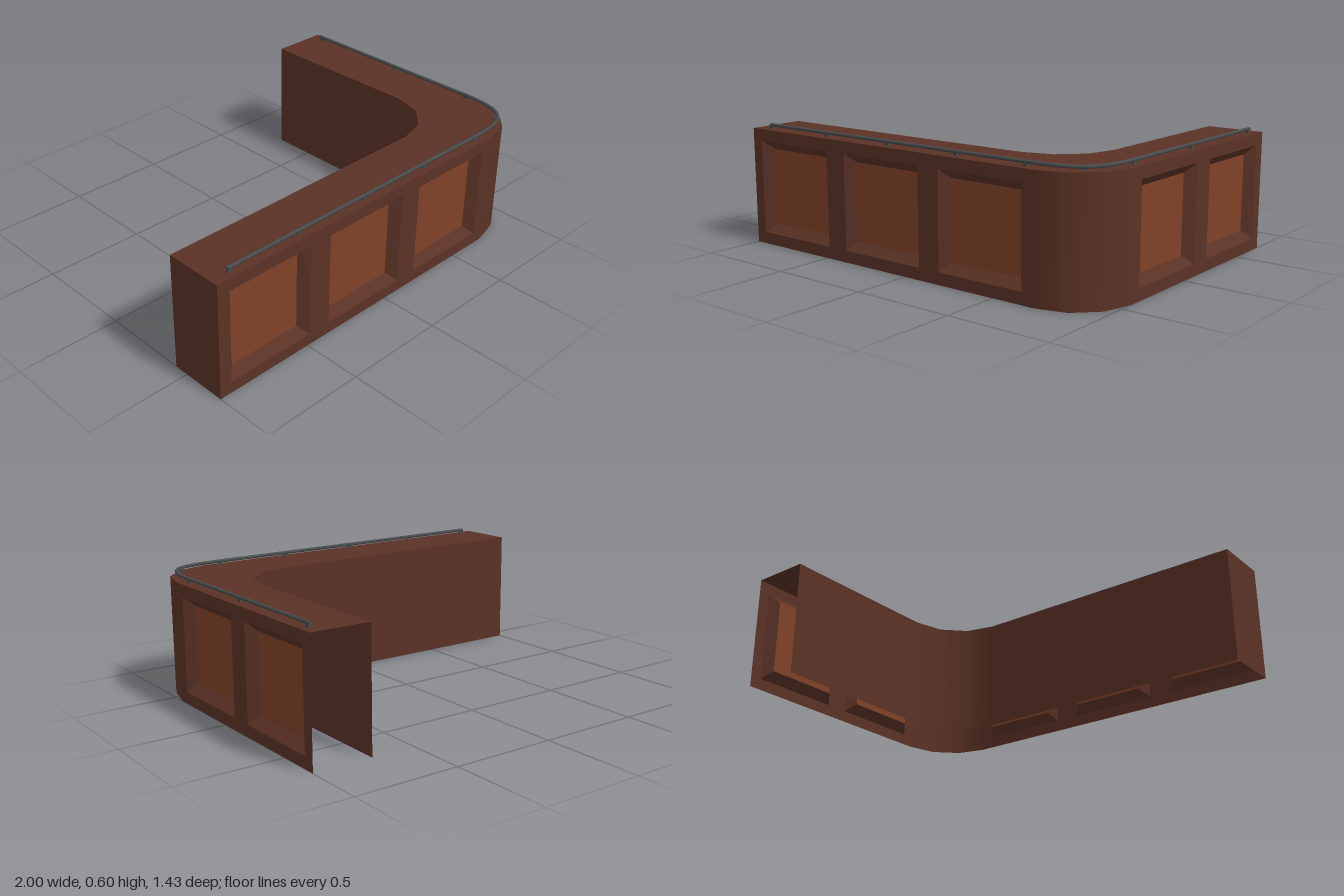
import * as THREE from 'three';

const U = 2 / 7;            // module: counter depth, corner radius, half a panel bay
const H = 2 * U;            // counter height
const RECESS = 0.043;       // depth of the panel recesses
const OPEN = 0.8 * U;       // half size of the recess opening
const FIELD = OPEN - 0.042; // half size of the sunken panel
const D = U * 2.5;          // half extent in z

const wood = new THREE.MeshStandardMaterial({ color: 0x5a3225, side: THREE.DoubleSide });
const bevelWood = new THREE.MeshStandardMaterial({ color: 0x5a3225, side: THREE.DoubleSide, flatShading: true });
const panelWood = new THREE.MeshStandardMaterial({ color: 0x804227, side: THREE.DoubleSide });
const metal = new THREE.MeshStandardMaterial({ color: 0x484c4c });

function add(parent, name, geometry, material, x = 0, y = 0, z = 0) {
  const mesh = new THREE.Mesh(geometry, material);
  mesh.name = name;
  mesh.position.set(x, y, z);
  parent.add(mesh);
  return mesh;
}

// Flat wall facing +z from x = 0 to length, with square bevelled recesses
function panelledWall(name, length, count) {
  const wall = new THREE.Group();
  wall.name = name;
  const shape = new THREE.Shape([[0, 0], [length, 0], [length, H], [0, H]].map(p => new THREE.Vector2(...p)));
  for (let i = 0; i < count; i++) {
    const cx = U * (1 + 2 * i), cy = H / 2;
    shape.holes.push(new THREE.Path(
      [[-1, -1], [-1, 1], [1, 1], [1, -1]].map(([a, b]) => new THREE.Vector2(cx + a * OPEN, cy + b * OPEN))));
    const bevel = new THREE.CylinderGeometry(OPEN * Math.SQRT2, FIELD * Math.SQRT2, RECESS, 4, 1, true, Math.PI / 4);
    add(wall, 'panelBevel', bevel.rotateX(Math.PI / 2), bevelWood, cx, cy, -RECESS / 2);
    add(wall, 'panel', new THREE.PlaneGeometry(2 * FIELD, 2 * FIELD), panelWood, cx, cy, -RECESS);
  }
  add(wall, 'frame', new THREE.ShapeGeometry(shape), wood);
  return wall;
}

// Points of a three-sided quarter bend, in (x, -z)
const bend = (cx, cz) => [0, 1, 2, 3].map(i => {
  const a = i * Math.PI / 6;
  return new THREE.Vector2(cx + U * Math.sin(a), -(cz + U * Math.cos(a)));
});

export function createModel() {
  const model = new THREE.Group();
  model.name = 'cornerCounter';
  const outer = { x: 1 - U, z: D - U }, inner = { x: 1 - 2 * U, z: D - 2 * U };

  // Panelled customer side
  const front = panelledWall('frontWall', 2 - U, 3);
  front.position.set(-1, 0, D);
  const side = panelledWall('sideWall', 2 * D - U, 2);
  side.rotation.y = Math.PI / 2;
  side.position.set(1, 0, D - U);
  model.add(front, side);

  // Curved corners, outside and inside
  for (const [name, c] of [['outerCorner', outer], ['innerCorner', inner]])
    add(model, name, new THREE.CylinderGeometry(U, U, H, 3, 1, true, 0, Math.PI / 2), wood, c.x, H / 2, c.z);

  // Plain staff side and the closed end; the other end and the underside are open
  const backLen = inner.x + 1, sideLen = inner.z + D;
  add(model, 'backWall', new THREE.PlaneGeometry(backLen, H).rotateY(Math.PI), wood, inner.x - backLen / 2, H / 2, D - U);
  add(model, 'innerSideWall', new THREE.PlaneGeometry(sideLen, H).rotateY(-Math.PI / 2), wood, 1 - U, H / 2, inner.z - sideLen / 2);
  add(model, 'endWall', new THREE.PlaneGeometry(U, H).rotateY(-Math.PI / 2), wood, -1, H / 2, D - U / 2);

  // Counter top
  const outline = [
    new THREE.Vector2(-1, -D), ...bend(outer.x, outer.z), new THREE.Vector2(1, D),
    new THREE.Vector2(1 - U, D), ...bend(inner.x, inner.z).reverse(), new THREE.Vector2(-1, U - D)];
  add(model, 'counterTop', new THREE.ShapeGeometry(new THREE.Shape(outline)).rotateX(-Math.PI / 2), wood, 0, H, 0);

  // Rail following the outer edge
  const rail = new THREE.Group();
  rail.name = 'rail';
  model.add(rail);
  const v = (x, z) => new THREE.Vector3(x, 0.591, z);
  const path = new THREE.CurvePath();
  path.add(new THREE.LineCurve3(v(-0.915, 0.676), v(0.62, 0.676)));
  path.add(new THREE.CubicBezierCurve3(v(0.62, 0.676), v(0.9, 0.676), v(0.96, 0.63), v(0.96, 0.35)));
  path.add(new THREE.LineCurve3(v(0.96, 0.35), v(0.96, -0.655)));
  add(rail, 'railBar', new THREE.TubeGeometry(path, 90, 0.0085, 8), metal);
  add(rail, 'railCap', new THREE.CircleGeometry(0.0085, 8).rotateY(-Math.PI / 2), metal, -0.915, 0.591, 0.676);
  add(rail, 'railCap', new THREE.CircleGeometry(0.0085, 8).rotateY(Math.PI), metal, 0.96, 0.591, -0.655);

  // Short posts: x, z and turn
  const posts = [-0.905, -0.52, -0.13, 0.27, 0.64].map(x => [x, 0.676, 0]);
  posts.push([0.88, 0.61, Math.PI / 4], ...[0.37, -0.1, -0.64].map(z => [0.96, z, Math.PI / 2]));
  for (const [x, z, turn] of posts)
    add(rail, 'railPost', new THREE.BoxGeometry(0.02, 0.02, 0.012), metal, x, H + 0.01, z).rotation.y = turn;

  return model;
}
